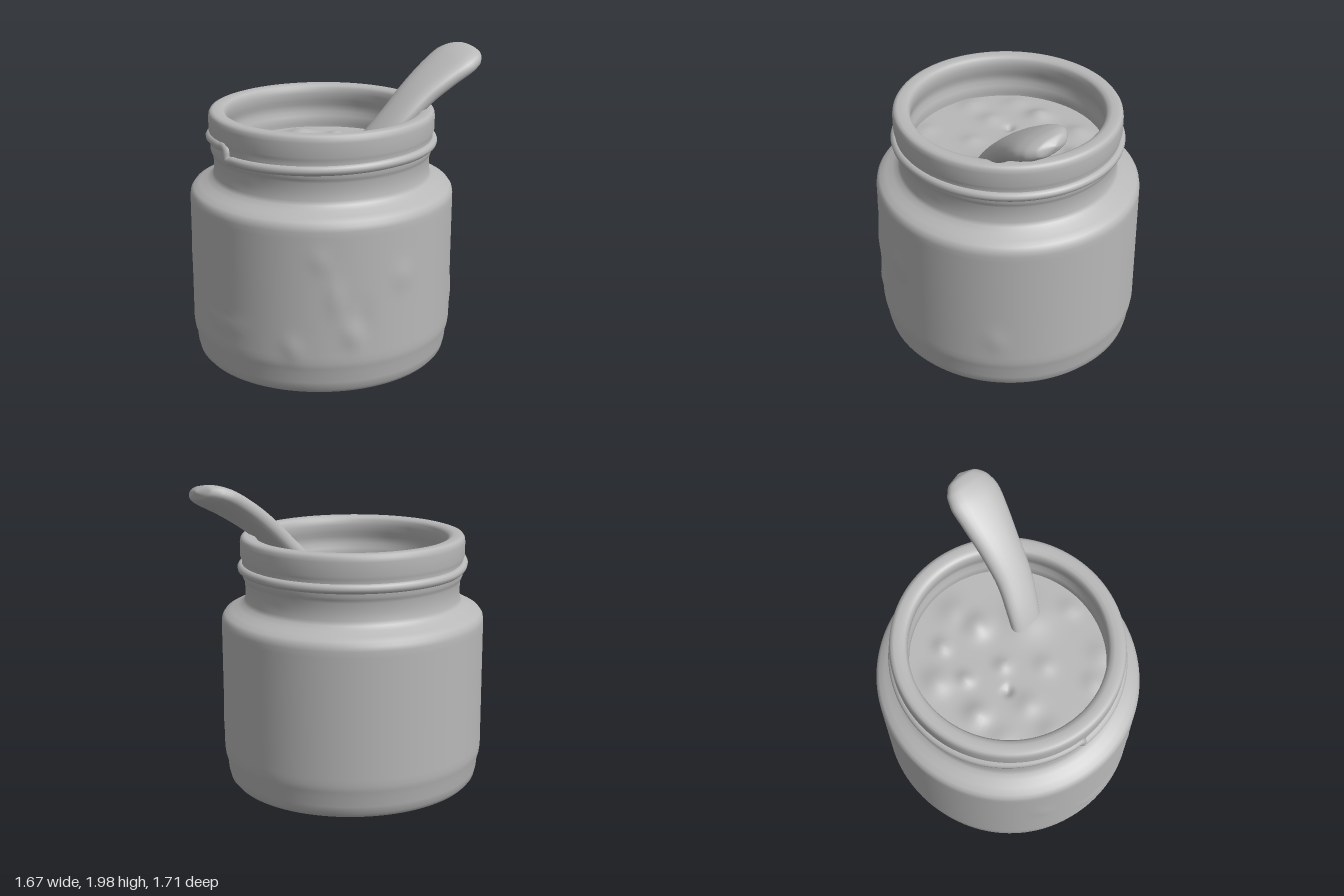
import * as THREE from 'three';
import { mergeVertices } from 'three/addons/utils/BufferGeometryUtils.js';

const SX = 0.993, SZ = 1.012; // the jar is very slightly oval

// drop seams and rebuild smooth normals
function smooth(geo) {
  geo.deleteAttribute('uv');
  geo.deleteAttribute('normal');
  const g = mergeVertices(geo, 1e-5);
  g.computeVertexNormals();
  return g;
}

// Jar: one closed profile, outside then inside, with shallow dents and bumps
function jarGeometry() {
  const p = [[0, 0.01], [0.62, 0.01], [0.70, 0.008], [0.75, 0.01], [0.785, 0.022], [0.808, 0.05],
    [0.82, 0.1], [0.826, 0.16], [0.838, 0.2]];
  for (let y = 0.24; y < 1.07; y += 0.04) p.push([0.843, y]);
  p.push([0.843, 1.08], [0.838, 1.11], [0.82, 1.135], [0.78, 1.155], [0.735, 1.178], [0.703, 1.2], [0.69, 1.225],
    [0.687, 1.28], [0.69, 1.335], [0.698, 1.355], [0.706, 1.375], [0.708, 1.41], [0.706, 1.45], [0.707, 1.48],
    [0.716, 1.5], [0.717, 1.585], [0.713, 1.61], [0.703, 1.625], [0.685, 1.631], [0.645, 1.63], [0.622, 1.622],
    [0.608, 1.605], [0.605, 1.57], [0.61, 1.52], [0.625, 1.49], [0.63, 1.44], [0.615, 1.41], [0.612, 1.36],
    [0.62, 1.3], [0.62, 1.22], [0, 1.22]);
  const geo = smooth(new THREE.LatheGeometry(p.map(([r, y]) => new THREE.Vector2(r, y)), 128));
  // bumps: angle from the front, height, angular size, vertical size, amount
  const bumps = [[0.52, 0.33, 0.06, 0.07, 0.012], [0.83, 0.66, 0.05, 0.12, 0.012], [0.95, 0.42, 0.06, 0.08, 0.016],
    [0.72, 0.9, 0.06, 0.07, 0.008], [1.35, 0.75, 0.08, 0.08, 0.01], [1.05, 0.5, 0.05, 0.12, -0.008],
    [2.2, 0.42, 0.07, 0.08, 0.008], [-0.62, 0.7, 0.06, 0.1, 0.006], [0.15, 0.4, 0.07, 0.05, 0]];
  const pos = geo.attributes.position;
  for (let i = 0; i < pos.count; i++) {
    let x = pos.getX(i), z = pos.getZ(i);
    const y = pos.getY(i), r = Math.hypot(x, z);
    if (r > 0.8) {
      const a = Math.atan2(x, z);
      let d = 0;
      for (const [ba, by, wa, wy, h] of bumps) d += h * Math.exp(-(((a - ba) / wa) ** 2) - ((y - by) / wy) ** 2);
      // shallow smile-shaped ridge
      const u = (a + 0.07) / 0.2;
      d += 0.008 * Math.exp(-(u ** 4) - ((y - 0.395 - 0.04 * u * u) / 0.035) ** 2);
      x *= 1 + d / r;
      z *= 1 + d / r;
    }
    pos.setXYZ(i, x * SX, y, z * SZ);
  }
  geo.computeVertexNormals();
  return geo;
}

// Screw thread: nearly level ring that climbs at the front and steps down
function threadGeometry() {
  const pts = [], n = 72, start = -0.2;
  for (let i = 0; i < n; i++) {
    const t = i / (n - 1), a = start + t * (Math.PI * 2 - 0.03);
    const y = 1.405 + 0.02 * Math.min(1, t * 4) + 0.05 * THREE.MathUtils.smoothstep(t, 0.78, 0.98);
    pts.push(new THREE.Vector3(0.706 * Math.sin(a) * SX, y, 0.706 * Math.cos(a) * SZ));
  }
  return new THREE.TubeGeometry(new THREE.CatmullRomCurve3(pts, true), 220, 0.03, 10, true);
}

// Filling: a disc with soft lumps
function fillingGeometry() {
  const geo = new THREE.RingGeometry(0.001, 0.63, 96, 30);
  geo.rotateX(-Math.PI / 2);
  // lumps: x, z, size, height
  const lumps = [[0.05, -0.29, 0.08, 0.04], [0.03, -0.46, 0.09, 0.025], [-0.4, -0.24, 0.08, 0.03], [-0.27, -0.12, 0.05, 0.025],
    [-0.4, 0.08, 0.07, 0.035], [-0.2, -0.37, 0.05, 0.025], [-0.16, 0.13, 0.03, -0.03], [-0.05, 0, 0.05, 0.02],
    [0.12, 0.2, 0.06, 0.015], [-0.15, 0.28, 0.07, 0.02], [-0.2, 0.5, 0.07, 0.02], [0.4, 0.42, 0.07, 0.015],
    [0.22, 0.5, 0.06, 0.015], [0.52, 0.08, 0.06, 0.015], [-0.42, 0.3, 0.07, 0.015], [0.3, -0.08, 0.13, 0.03]];
  const pos = geo.attributes.position;
  for (let i = 0; i < pos.count; i++) {
    const x = pos.getX(i), z = pos.getZ(i);
    let y = 1.335;
    for (const [lx, lz, s, h] of lumps) y += h * Math.exp(-((x - lx) ** 2 + (z - lz) ** 2) / (s * s));
    pos.setXYZ(i, x * SX, y, z * SZ);
  }
  return smooth(geo);
}

// Spoon handle: flattened oval sections swept along a bent path
function handleGeometry() {
  // x, y, z, half width, half thickness
  const rows = [[0.24, 1.24, -0.03, 0.1, 0.05], [0.30, 1.40, -0.13, 0.11, 0.058], [0.38, 1.56, -0.27, 0.122, 0.065],
    [0.435, 1.71, -0.43, 0.138, 0.068], [0.485, 1.82, -0.58, 0.162, 0.068], [0.52, 1.885, -0.69, 0.175, 0.066],
    [0.54, 1.92, -0.77, 0.155, 0.06], [0.552, 1.938, -0.825, 0.105, 0.045], [0.558, 1.947, -0.853, 0.01, 0.008]];
  const path = new THREE.CatmullRomCurve3(rows.map(r => new THREE.Vector3(r[0], r[1], r[2])));
  const size = new THREE.CatmullRomCurve3(rows.map(r => new THREE.Vector3(r[3], r[4], 0)));
  const rings = 48, sides = 24, verts = [], index = [];
  for (let i = 0; i <= rings; i++) {
    const t = i / rings, c = path.getPoint(t), s = size.getPoint(t), T = path.getTangent(t);
    const W = new THREE.Vector3(0.93, -0.2, 0.25);
    W.addScaledVector(T, -W.dot(T)).normalize();
    const N = new THREE.Vector3().crossVectors(T, W);
    for (let j = 0; j < sides; j++) {
      const a = j / sides * Math.PI * 2, cs = Math.cos(a), sn = Math.sin(a);
      const v = c.clone().addScaledVector(W, s.x * Math.sign(cs) * Math.abs(cs) ** 0.85)
        .addScaledVector(N, s.y * Math.sign(sn) * Math.abs(sn) ** 0.85);
      verts.push(v.x, v.y, v.z);
      if (i < rings) {
        const p = i * sides + j, q = i * sides + (j + 1) % sides;
        index.push(p, q, p + sides, q, q + sides, p + sides);
      }
    }
  }
  // close the tip
  const tip = path.getPoint(1), last = rings * sides;
  verts.push(tip.x, tip.y, tip.z);
  for (let j = 0; j < sides; j++) index.push(last + j, last + (j + 1) % sides, last + sides);
  const geo = new THREE.BufferGeometry();
  geo.setAttribute('position', new THREE.Float32BufferAttribute(verts, 3));
  geo.setIndex(index);
  geo.computeVertexNormals();
  return geo;
}

export function createModel() {
  const group = new THREE.Group();
  group.name = 'jarWithSpoon';
  const grey = new THREE.MeshStandardMaterial({ color: 0xb8b8b8 });
  grey.name = 'plainGrey';
  const add = (name, geo, z = 0) => {
    const mesh = new THREE.Mesh(geo, grey);
    mesh.name = name;
    mesh.position.z = z;
    group.add(mesh);
  };
  add('jar', jarGeometry(), -0.005);
  add('screwThread', threadGeometry(), -0.005);
  add('filling', fillingGeometry(), -0.005);
  add('spoonHandle', handleGeometry());
  return group;
}
